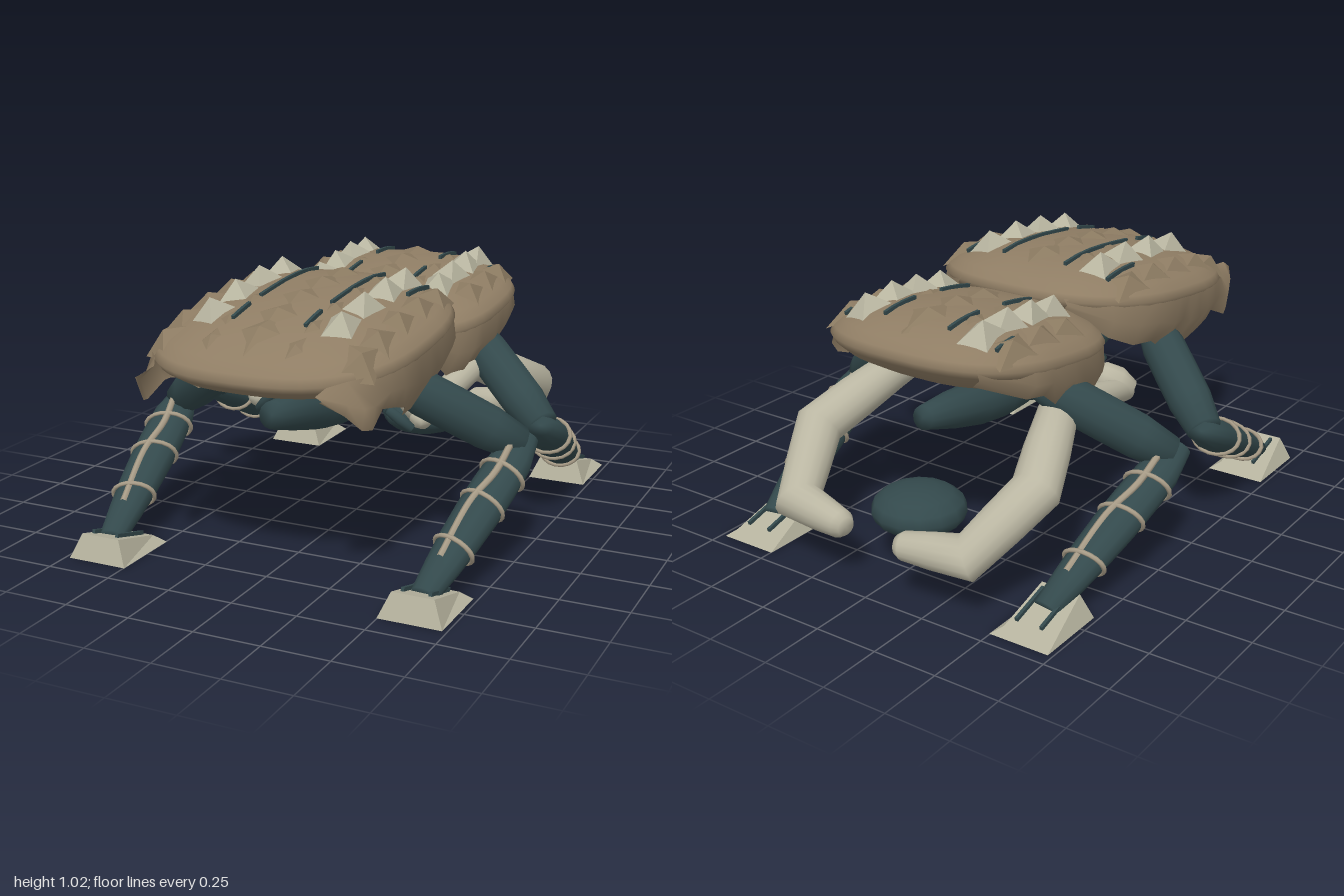
import * as THREE from 'three';

const V = (x, y, z) => new THREE.Vector3(x, y, z);
const mat = (name, color, extra = {}) => Object.assign(new THREE.MeshStandardMaterial({ color, ...extra }), { name });

export function createModel() {
  const root = new THREE.Group();
  root.name = 'armouredWalker';
  const tan = mat('tanShell', 0x8f7d64);
  const tanFacet = mat('tanFacet', 0x8b7a61, { flatShading: true });
  const tanSkirt = mat('tanSkirt', 0x8f7d64, { side: THREE.DoubleSide });
  const dark = mat('darkTeal', 0x33494c);
  const bone = mat('bone', 0xbab6a2);
  const boneFacet = mat('boneFacet', 0xb7b49f, { flatShading: true });
  const cord = mat('cord', 0xa89c87);

  const add = (name, geo, material, parent = root) => {
    const m = new THREE.Mesh(geo, material);
    m.name = name;
    parent.add(m);
    return m;
  };

  // Indexed smooth surface from rings of equal length
  const surface = (pos, idx) => {
    const geo = new THREE.BufferGeometry();
    geo.setAttribute('position', new THREE.Float32BufferAttribute(pos, 3));
    geo.setIndex(idx);
    geo.computeVertexNormals();
    return geo;
  };

  // Limb turned around the line a-b; radii are spread evenly, local -z faces up
  const limb = (name, a, b, radii, material, depth = 1) => {
    const len = a.distanceTo(b), n = radii.length - 1;
    const pts = [new THREE.Vector2(0, 0), ...radii.map((r, i) => new THREE.Vector2(r, (i / n) * len)), new THREE.Vector2(0, len)];
    const g = new THREE.Group();
    g.name = name;
    add(name + 'Body', new THREE.LatheGeometry(pts, 12), material, g).scale.z = depth;
    const y = b.clone().sub(a).normalize();
    const x = V(0, 1, 0).cross(y).normalize();
    g.quaternion.setFromRotationMatrix(new THREE.Matrix4().makeBasis(x, y, x.clone().cross(y)));
    g.position.copy(a);
    root.add(g);
    return g;
  };

  // Round bar along [point, radius] stations with mitred bends and closed ends
  const mitredBar = stations => {
    const R = 16, pos = [], idx = [], n = stations.length;
    const dirs = stations.slice(1).map(([p], i) => p.clone().sub(stations[i][0]).normalize());
    const u = V(0, 1, 0).cross(dirs[0]).normalize(), w = dirs[0].clone().cross(u);
    let ring = Array.from({ length: R }, (_, j) => {
      const a = (j / R) * Math.PI * 2;
      return u.clone().multiplyScalar(Math.cos(a)).addScaledVector(w, Math.sin(a));
    });
    stations.forEach(([p, r], i) => {
      const d0 = dirs[Math.max(i - 1, 0)], d1 = dirs[Math.min(i, n - 2)];
      const t = d0.clone().add(d1).normalize();
      ring = ring.map(o => {
        const m = o.clone().addScaledVector(d0, -o.dot(t) / d0.dot(t));
        pos.push(...p.clone().addScaledVector(m, r).toArray());
        return m.addScaledVector(d1, -m.dot(d1));
      });
      if (i) for (let j = 0; j < R; j++) {
        const a = (i - 1) * R + j, b = (i - 1) * R + (j + 1) % R;
        idx.push(a, b, a + R, b, b + R, a + R);
      }
    });
    pos.push(...stations[0][0].toArray(), ...stations[n - 1][0].toArray());
    for (let j = 0; j < R; j++) {
      const k = (j + 1) % R, e = (n - 1) * R;
      idx.push(n * R, k, j, n * R + 1, e + j, e + k);
    }
    return surface(pos, idx);
  };

  // Shells: tilted lenses with a rounded rectangular outline
  const P = 2.7, lens = s => 0.14 * (1 - s ** 2.6) ** 0.65;
  const buildShell = ({ name, w, l, zc, y0, skirt, spikes, scutes, stripes }) => {
    const g = new THREE.Group();
    g.name = name;
    root.add(g);
    const rim = z => y0 - 0.115 * (z - zc);
    const topY = (x, z) => rim(z) + lens(Math.min(1, (Math.abs(x / w) ** P + Math.abs((z - zc) / l) ** P) ** (1 / P)));
    const edgeX = z => w * Math.max(0, 1 - Math.abs((z - zc) / l) ** P) ** (1 / P);
    const layers = [[0, 1], [0.3, 1], [0.55, 1], [0.75, 1], [0.9, 1], [0.97, 1], [1, 1], [0.97, -1], [0.88, -1], [0.7, -1], [0.4, -1], [0, -1]];
    const S = 48, pos = [], idx = [];
    layers.forEach(([s, up], i) => {
      for (let j = 0; j < S; j++) {
        const a = (j / S) * Math.PI * 2, c = Math.cos(a), d = Math.sin(a);
        const x = s * w * Math.sign(c) * Math.abs(c) ** (2 / P), z = zc + s * l * Math.sign(d) * Math.abs(d) ** (2 / P);
        pos.push(x, rim(z) + up * lens(s), z);
        const p = i * S + j, q = i * S + (j + 1) % S;
        if (i < layers.length - 1) idx.push(p, q, p + S, q, q + S, p + S);
      }
    });
    add(name + 'Dome', surface(pos, idx), tan, g);

    for (const side of [1, -1]) {
      // Ragged side skirt: rows of [z, inset, bottom height, x where it flares past the rim]
      const sp = [], si = [];
      skirt.forEach(([z, inset, yB, flare], i) => {
        const x = flare ?? edgeX(z), xT = flare ? Math.max(edgeX(z), 0.325) : x * 0.98, yT = rim(z);
        sp.push(side * xT, yT + 0.01, z, side * (x - inset * 0.2 + 0.01), (yT + yB) / 2, z, side * (x - inset), yB, z);
        if (i) for (const k of [0, 1]) {
          const a = (i - 1) * 3 + k, b = i * 3 + k;
          if (side > 0) si.push(a, b, a + 1, b, b + 1, a + 1);
          else si.push(a, a + 1, b, b, a + 1, b + 1);
        }
      });
      add(name + 'Skirt', surface(sp, si), tanSkirt, g);

      // Thin dark seams following the dome
      for (const [x, z0, z1] of stripes) for (let k = 0; k < 5; k++) {
        const za = z0 + (z1 - z0) * k / 5, zb = z0 + (z1 - z0) * (k + 1) / 5;
        const ya = topY(x, za), yb = topY(x, zb);
        const m = add('shellSeam', new THREE.BoxGeometry(0.012, 0.02, Math.hypot(zb - za, yb - ya)), dark, g);
        m.position.set(side * x, (ya + yb) / 2 + 0.002, (za + zb) / 2);
        m.rotation.x = -Math.atan2(yb - ya, zb - za);
      }
    }

    // Four-sided pyramids resting on the dome
    const pyramid = (n, x, z, wx, h, wz, material, yaw = 0) => {
      const m = add(n, new THREE.ConeGeometry(Math.SQRT1_2, 1, 4).rotateY(Math.PI / 4 + yaw), material, g);
      m.scale.set(wx, h, wz);
      m.position.set(x, topY(x, z) + h * 0.5 - 0.02, z);
      m.rotation.x = -Math.atan2(topY(x, z + 0.04) - topY(x, z - 0.04), 0.08);
      m.rotation.z = Math.atan2(topY(x + 0.03, z) - topY(x - 0.03, z), 0.06) * 0.8;
    };
    for (const z of scutes) {
      pyramid('centreScute', 0, z, 0.18, 0.042, 0.22, tanFacet, Math.PI / 4);
      for (const side of [1, -1]) {
        pyramid('sideScute', side * w * 0.76, z, 0.13, 0.05, 0.19, tanFacet, side * 0.3);
        pyramid('innerScute', side * 0.16, z + 0.05, 0.1, 0.032, 0.17, tanFacet, side * 0.5);
      }
    }
    spikes.forEach((z, i) => {
      for (const side of [1, -1])
        pyramid('shellSpike', side * 0.25, z, 0.125, 0.08, 0.175, boneFacet, side * (i % 2 ? 0.25 : -0.2));
    });
  };

  buildShell({
    name: 'frontShell', w: 0.49, l: 0.545, zc: 0.415, y0: 0.825,
    skirt: [[-0.1, 0, 0.86], [0, 0.02, 0.74], [0.1, 0.03, 0.69], [0.2, 0.04, 0.68], [0.3, 0.07, 0.62], [0.36, 0.07, 0.64], [0.42, 0.08, 0.585], [0.5, 0.08, 0.58],
      [0.56, 0.04, 0.63], [0.63, 0.03, 0.65], [0.7, 0.03, 0.66], [0.8, 0, 0.615, 0.435], [0.85, 0, 0.625, 0.42], [0.92, 0, 0.69, 0.39], [1, 0, 0.75, 0.34]],
    spikes: [0.12, 0.295, 0.47, 0.65], scutes: [0.12, 0.29, 0.46, 0.63, 0.76], stripes: [[0.14, 0.05, 0.5], [0.32, 0.06, 0.25], [0.14, 0.58, 0.7]]
  });
  buildShell({
    name: 'rearShell', w: 0.46, l: 0.45, zc: -0.37, y0: 0.79,
    skirt: [[0.06, 0, 0.73], [0, 0.03, 0.66], [-0.07, 0.05, 0.575], [-0.14, 0.05, 0.57], [-0.2, 0.06, 0.6], [-0.3, 0.06, 0.585], [-0.36, 0.05, 0.64],
      [-0.42, 0.05, 0.63], [-0.5, 0.04, 0.69], [-0.58, 0.04, 0.7], [-0.75, 0.02, 0.78]],
    spikes: [-0.63, -0.49, -0.35, -0.21], scutes: [-0.6, -0.44, -0.28], stripes: [[0.14, -0.67, -0.5], [0.14, -0.35, -0.18], [0.33, -0.66, -0.56]]
  });

  for (const s of [1, -1]) {
    for (const f of [1, -1]) {
      const end = f > 0 ? 'front' : 'rear';
      const footZ = f > 0 ? 0.76 : -0.805;
      limb(end + 'Thigh', V(s * 0.32, 0.685, f * 0.395), V(s * 0.715, 0.41, f * 0.13), [0.06, 0.084, 0.085, 0.084, 0.066], dark);
      const shin = limb(end + 'Shin', V(s * 0.725, 0.42, f * 0.085), V(s * 0.62, 0.06, f * 0.79),
        [0.05, 0.082, 0.086, 0.085, 0.078, 0.066, 0.05], dark, 0.75);

      // Cord bindings: three rings and a strap along the top
      for (const [y, r] of [[0.2, 0.09], [0.36, 0.088], [0.58, 0.08]]) {
        const ring = add('cordRing', new THREE.TorusGeometry(r, 0.009, 6, 18).rotateX(Math.PI / 2), cord, shin);
        ring.position.y = y;
        ring.scale.z = 0.78;
        ring.rotation.z = s * 0.15;
      }
      const strap = new THREE.CatmullRomCurve3([V(0, 0.1, -0.063), V(0.012, 0.25, -0.065), V(-0.01, 0.4, -0.063), V(0, 0.66, -0.045)]);
      add('cordStrap', new THREE.TubeGeometry(strap, 16, 0.013, 6), cord, shin);

      // Wedge foot, higher at its front edge
      const fg = new THREE.BoxGeometry(0.235, 1, 0.285);
      const p = fg.attributes.position;
      for (let i = 0; i < p.count; i++) {
        const up = p.getY(i) > 0, fore = p.getZ(i) > 0;
        p.setXYZ(i, p.getX(i) * (up ? 0.66 : 1), up ? (fore ? 0.092 : 0.03) : 0, p.getZ(i) * (up ? 0.8 : 1));
      }
      add(end + 'Foot', fg, boneFacet).position.set(s * 0.615, 0, footZ);
      for (const d of [-0.05, 0.05]) {
        const bar = add('footBar', new THREE.BoxGeometry(0.012, 0.014, 0.17), dark);
        bar.position.set(s * 0.615 + d, 0.07, footZ);
        bar.rotation.x = -0.27;
      }
    }

    // Long hooked arm reaching to the rear, with sharp elbow and wrist
    add('hookedArm', mitredBar([
      [V(s * 0.335, 0.465, 0.2), 0.025], [V(s * 0.34, 0.47, 0.17), 0.045], [V(s * 0.36, 0.52, -0.03), 0.05], [V(s * 0.37, 0.56, -0.26), 0.055],
      [V(s * 0.38, 0.56, -0.36), 0.075], [V(s * 0.435, 0.49, -0.51), 0.085], [V(s * 0.49, 0.415, -0.66), 0.088],
      [V(s * 0.435, 0.325, -0.785), 0.084], [V(s * 0.378, 0.235, -0.91), 0.076], [V(s * 0.25, 0.23, -0.93), 0.066],
      [V(s * 0.14, 0.226, -0.95), 0.052], [V(s * 0.115, 0.225, -0.955), 0.035]]), bone);

    // Hand at the forward end of the arm
    limb('palm', V(s * 0.23, 0.555, 0.08), V(s * 0.38, 0.48, 0.17), [0.03, 0.06, 0.064, 0.035], bone);
    limb('lowerFinger', V(s * 0.24, 0.51, 0.24), V(s * 0.32, 0.435, 0.2), [0.018, 0.022, 0.018], dark);
    limb('upperFinger', V(s * 0.23, 0.55, 0.06), V(s * 0.29, 0.63, 0.09), [0.025, 0.028, 0.022], dark);
  }

  // Pods slung beneath the shells
  limb('frontPod', V(0, 0.58, 0.69), V(0, 0.455, 0), [0.05, 0.07, 0.084, 0.08, 0.055], dark);
  limb('rearPod', V(0, 0.56, -0.65), V(0, 0.46, -0.03), [0.045, 0.07, 0.084, 0.08, 0.055], dark);
  const pod = add('hangingPod', new THREE.SphereGeometry(1, 14, 8), dark);
  pod.scale.set(0.178, 0.09, 0.175);
  pod.position.set(0, 0.22, -0.685);

  return root;
}
